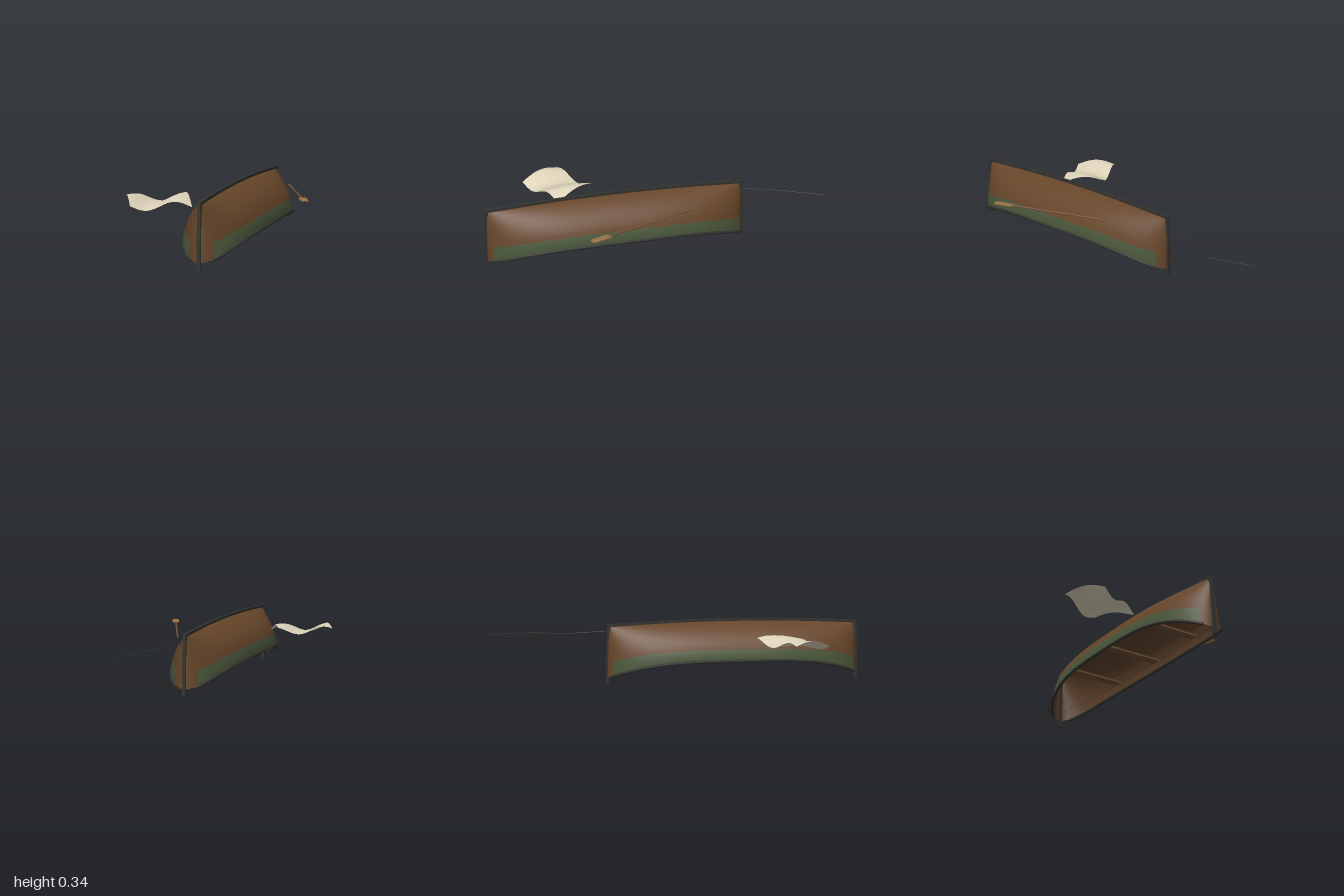
import * as THREE from 'three';

const mat = (name, color, side = THREE.FrontSide) => {
  const m = new THREE.MeshStandardMaterial({ color, side });
  m.name = name;
  return m;
};

const CX = 0.073, CZ = 0.308, STRAKES = 7;

// Hull lines: t runs stern to bow (-1..1), s runs keel to sheer (0..1)
const halfBeam = t => 0.003 + 0.177 * Math.pow(Math.max(0, 1 - Math.abs(t) ** 3), 0.56);
const sheerY = t => 0.135 - 0.097 * Math.abs(t) ** 3.5;
const keelY = t => 0.328 - 0.021 * t * t;

function hullPoint(t, s, side, out = 0) {
  const a = s * Math.PI / 2;
  const y = sheerY(t) + (keelY(t) - sheerY(t)) * Math.cos(a) + out * Math.cos(a);
  const x = Math.max(0, halfBeam(t) * Math.sin(a) ** 1.3 + out * Math.sin(a));
  return new THREE.Vector3(CX + side * x, y, CZ + t * (0.672 + 0.03 * (0.32 - y)));
}

// Surface from a rule f(u, v) with u, v in 0..1
function grid(f, nu, nv) {
  const pos = [], idx = [];
  for (let i = 0; i <= nu; i++) for (let j = 0; j <= nv; j++) pos.push(...f(i / nu, j / nv).toArray());
  for (let i = 0; i < nu; i++) for (let j = 0; j < nv; j++) {
    const a = i * (nv + 1) + j, b = a + nv + 1;
    idx.push(a, b, a + 1, b, b + 1, a + 1);
  }
  const g = new THREE.BufferGeometry();
  g.setAttribute('position', new THREE.Float32BufferAttribute(pos, 3));
  g.setIndex(idx);
  g.computeVertexNormals();
  return g;
}

// Side outline of (z, y) points, extruded across the centreline
function sideProfile(points, width) {
  const shape = new THREE.Shape(points.map(p => new THREE.Vector2(p[0], p[1])));
  const g = new THREE.ExtrudeGeometry(shape, { depth: width, bevelEnabled: false });
  g.translate(0, 0, -width / 2).rotateY(-Math.PI / 2).translate(CX, 0, 0);
  return g;
}

export function createModel() {
  const root = new THREE.Group();
  root.name = 'overturnedBoat';
  const D = THREE.DoubleSide;
  const wood = mat('plank brown', 0x67462a, D);
  const inside = mat('inner plank brown', 0x5b3f28, D);
  const seam = mat('seam brown', 0x33241a, D);
  const green = mat('faded green paint', 0x4a573b, D);
  const iron = mat('dark trim', 0x32322f, D);
  const bench = mat('bench brown', 0x6a4d34);
  const shaftWood = mat('oar shaft brown', 0x76553a);
  const bladeWood = mat('oar blade brown', 0x9c7347);
  const canvas = mat('canvas cream', 0xdbd1b8, D);
  const ropeMat = mat('rope dark', 0x3f372d);

  const add = (name, geo, m, parent = root) => {
    const mesh = new THREE.Mesh(geo, m);
    mesh.name = name;
    parent.add(mesh);
    return mesh;
  };

  // Lapped planking, painted band and gunwale on both sides
  const along = u => Math.sin((u - 0.5) * Math.PI); // finer stations near the ends
  for (const [side, label] of [[1, 'left'], [-1, 'right']]) {
    for (let i = 0; i < STRAKES; i++) {
      const s0 = i / STRAKES, ds = 1 / STRAKES, lap = i ? 0.0025 : 0;
      const plank = inset => grid((u, v) =>
        hullPoint(side * along(u), s0 + ds * v, side, lap * (1 - v) - inset), 48, 4);
      add(`${label}Plank${i + 1}`, plank(0), wood);
      add(`${label}Lining${i + 1}`, plank(0.003), inside);
      if (i) add(`${label}PlankSeam${i}`,
        grid((u, v) => hullPoint(side * along(u), s0, side, -0.003 + 0.0055 * v), 48, 1), seam);
    }
    add(`${label}PaintBand`,
      grid((u, v) => hullPoint(side * (1.92 * u - 0.96), 0.8 + 0.2 * v, side, 0.0035), 48, 10), green);

    const rail = [];
    for (let i = 0; i <= 32; i++) rail.push(hullPoint(0.97 * along(i / 32), 1, side, 0.004));
    add(`${label}Gunwale`, new THREE.TubeGeometry(new THREE.CatmullRomCurve3(rail), 64, 0.008, 8), iron);
    for (const end of [0, 32]) {
      const cap = add(`${label}GunwaleEnd`, new THREE.SphereGeometry(0.008, 8, 6), iron);
      cap.position.copy(rail[end]);
    }
  }

  // Keel strip along the top
  const upper = [], lower = [];
  for (let i = 0; i <= 24; i++) {
    const t = -1 + i / 12;
    upper.push([CZ + t * 0.678, keelY(t) + 0.012]);
    lower.unshift([CZ + t * 0.678, keelY(t) - 0.002]);
  }
  add('keel', sideProfile([...upper, ...lower], 0.018), iron);

  // Raked end posts
  for (const [end, name] of [[1, 'bowPost'], [-1, 'sternPost']]) {
    const pts = [[0.673, 0], [0.69, 0], [0.688, 0.13], [0.68, 0.319], [0.662, 0.319], [0.669, 0.13]];
    add(name, sideProfile(pts.map(([z, y]) => [CZ + end * z, y]), 0.018), iron);
  }

  // Three benches inside
  for (const z of [0.64, 0.305, -0.03]) {
    const t = (z - CZ) / 0.675;
    const b = add('bench', new THREE.BoxGeometry(halfBeam(t) * 1.85, 0.01, 0.045), bench);
    b.position.set(CX, 0.17, z);
  }

  // Oar lying beside the hull
  const oar = new THREE.Group();
  oar.name = 'oar';
  const start = new THREE.Vector3(0.222, 0.262, -0.07), tip = new THREE.Vector3(0.455, 0.271, 0.515);
  const len = start.distanceTo(tip), bladeLen = 0.105;
  const shaft = new THREE.CylinderGeometry(0.0045, 0.0045, len - bladeLen + 0.02, 8).rotateX(Math.PI / 2);
  add('oarShaft', shaft, shaftWood, oar).position.z = (len - bladeLen + 0.02) / 2;
  add('oarBlade', new THREE.BoxGeometry(0.035, 0.005, bladeLen), bladeWood, oar).position.z = len - bladeLen / 2;
  oar.position.copy(start);
  oar.lookAt(tip);
  root.add(oar);

  // Mooring line trailing from the stern
  const line = [[0.098, 0.281, -0.372], [0.135, 0.268, -0.545], [0.24, 0.26, -0.775], [0.175, 0.263, -1]]
    .map(p => new THREE.Vector3(...p));
  const path = new THREE.CurvePath();
  for (let i = 0; i < 3; i++) path.add(new THREE.LineCurve3(line[i], line[i + 1]));
  add('mooringLine', new THREE.TubeGeometry(path, 60, 0.002, 6), ropeMat);

  // Rippled canvas sheet
  add('canvasSheet', grid((u, v) => new THREE.Vector3(
    -0.47 + 0.27 * u + 0.103 * v,
    0.25 + 0.02 * Math.sin(7 * u + 0.4 + 2.5 * v) - 0.014 * v + 0.014 * Math.sin(Math.PI * v),
    0.525 - 0.143 * u + 0.2 * v), 28, 16), canvas);

  return root;
}
